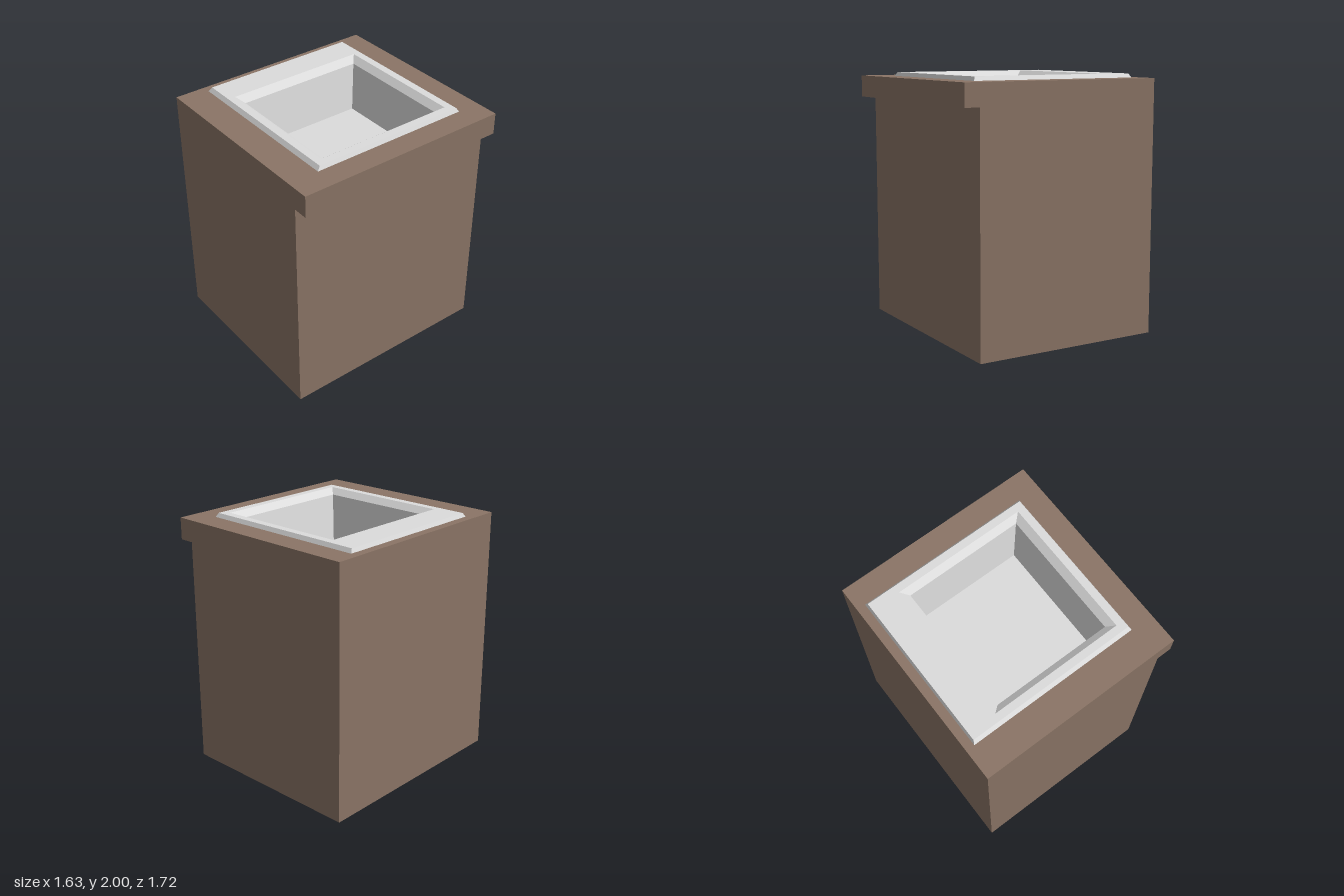
import * as THREE from 'three';

// Joins a series of rectangular rings [x0, x1, z0, z1, y] into a faceted skin.
function loft(rings, capStart, capEnd) {
  const corners = rings.map(([x0, x1, z0, z1, y]) => [
    new THREE.Vector3(x0, y, z1), new THREE.Vector3(x1, y, z1),
    new THREE.Vector3(x1, y, z0), new THREE.Vector3(x0, y, z0),
  ]);
  const points = [];
  const addTriangle = (a, b, c) => {
    if (new THREE.Triangle(a, b, c).getArea() > 1e-6) points.push(a, b, c);
  };
  const addQuad = (a, b, c, d) => {
    addTriangle(a, b, c);
    addTriangle(a, c, d);
  };
  for (let r = 0; r < corners.length - 1; r++) {
    const a = corners[r], b = corners[r + 1];
    for (let i = 0; i < 4; i++) {
      const j = (i + 1) % 4;
      addQuad(a[i], a[j], b[j], b[i]);
    }
  }
  if (capStart) addQuad(...[...corners[0]].reverse());
  if (capEnd) addQuad(...corners[corners.length - 1]);
  const geometry = new THREE.BufferGeometry().setFromPoints(points);
  geometry.computeVertexNormals();
  return geometry;
}

export function createModel() {
  const model = new THREE.Group();
  model.name = 'sinkCabinet';

  const wood = new THREE.MeshStandardMaterial({ color: 0x8b7566 });
  wood.name = 'brown wood';
  const steel = new THREE.MeshStandardMaterial({ color: 0xdcdcdc });
  steel.name = 'light grey steel';

  const add = (name, geometry, material) => {
    const mesh = new THREE.Mesh(geometry, material);
    mesh.name = name;
    model.add(mesh);
  };

  const rimBase = [-0.745, 0.63, -0.67, 0.62, 1.97];

  // Cabinet with a worktop overhanging on one side, open under the sink
  add('cabinet', loft([
    [-0.813, 0.695, -0.86, 0.86, 0],
    [-0.813, 0.695, -0.86, 0.86, 1.8],
    [-0.813, 0.813, -0.86, 0.86, 1.8],
    [-0.813, 0.813, -0.86, 0.86, 1.97],
    rimBase,
  ], true, false), wood);

  // Sink: bevelled rim, sloped lip, tapered basin and flat floor
  add('sink', loft([
    rimBase,
    [-0.732, 0.617, -0.65, 0.595, 2],
    [-0.505, 0.556, -0.59, 0.537, 2],
    [-0.447, 0.5, -0.54, 0.485, 1.955],
    [-0.39, 0.443, -0.487, 0.433, 1.59],
  ], false, true), steel);

  return model;
}
